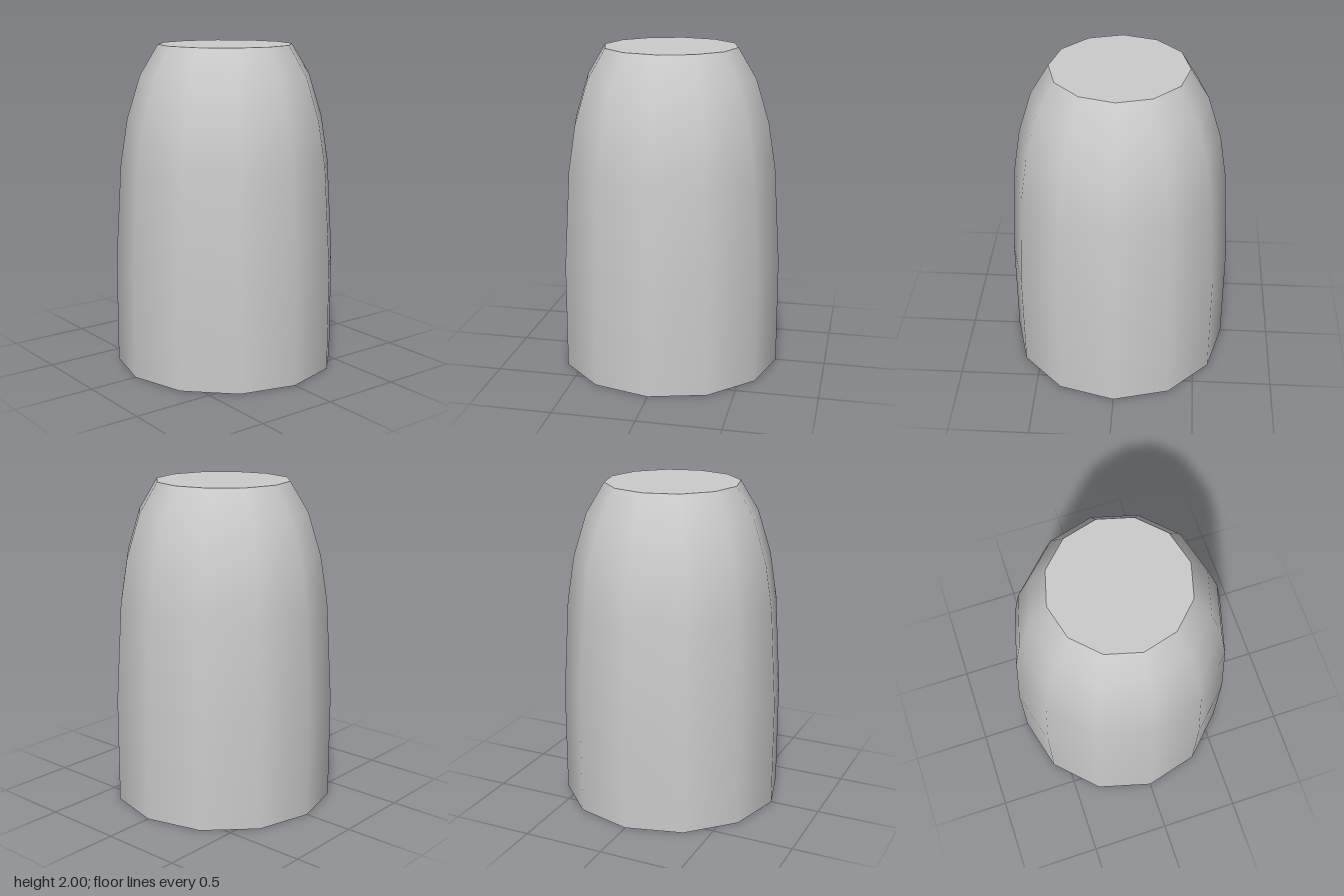
import * as THREE from 'three';

const SIDES = 12;

// Outline from base to tip: radius, height
const PROFILE = [
  [0.69, 0], [0.69, 0.66], [0.652, 1.27], [0.607, 1.55], [0.525, 1.815], [0.413, 2],
];

export function createModel() {
  const group = new THREE.Group();
  group.name = 'bluntBullet';
  const material = new THREE.MeshStandardMaterial({ color: 0xcccccc });

  const add = (name, geometry) => {
    const mesh = new THREE.Mesh(geometry, material);
    mesh.name = name;
    group.add(mesh);
    return mesh;
  };

  // Smooth tapering wall
  add('body', new THREE.LatheGeometry(PROFILE.map(([r, y]) => new THREE.Vector2(r, y)), SIDES));

  // Flat end caps
  const addCap = (name, [radius, y], tilt) => {
    const cap = add(name, new THREE.CircleGeometry(radius, SIDES));
    cap.rotation.x = tilt;
    cap.position.y = y;
  };
  addCap('base', PROFILE[0], Math.PI / 2);
  addCap('tip', PROFILE[PROFILE.length - 1], -Math.PI / 2);

  return group;
}
